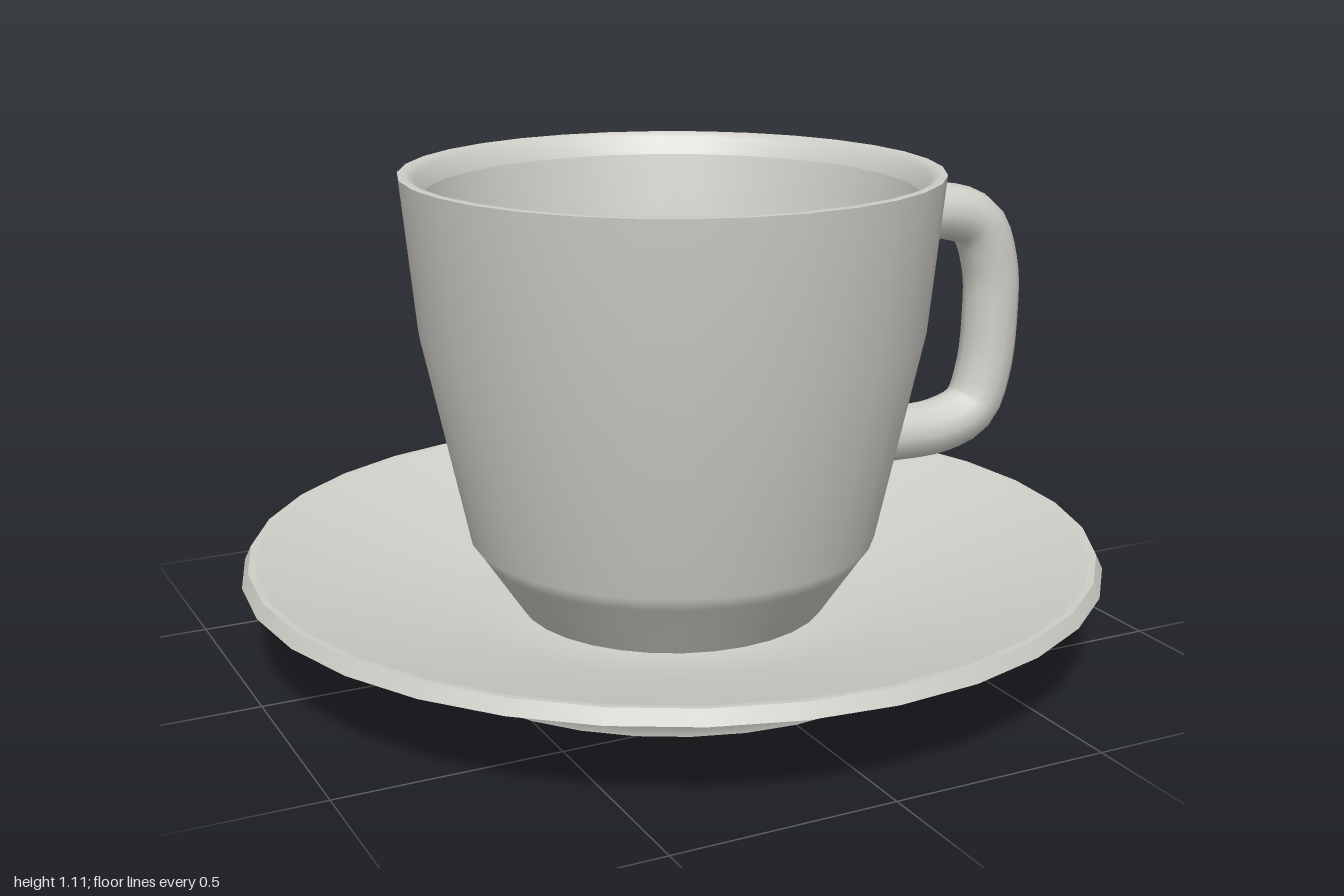
import * as THREE from 'three';

const SIDES = 32;

// Lathe from [radius, height] pairs; a repeated pair makes a sharp edge.
function lathe(profile) {
  return new THREE.LatheGeometry(profile.map(([r, y]) => new THREE.Vector2(r, y)), SIDES);
}

function addMesh(parent, name, geometry, material) {
  const mesh = new THREE.Mesh(geometry, material);
  mesh.name = name;
  parent.add(mesh);
  return mesh;
}

export function createModel() {
  const porcelain = new THREE.MeshStandardMaterial({ color: 0xd0cec8 });
  porcelain.name = 'porcelain';
  const coffeeBrown = new THREE.MeshStandardMaterial({ color: 0x784c2b });
  coffeeBrown.name = 'coffee brown';
  const creamTan = new THREE.MeshStandardMaterial({ color: 0xc0956a });
  creamTan.name = 'cream tan';

  const model = new THREE.Group();
  model.name = 'cupAndSaucer';

  // Saucer: flat foot, flared underside, thin bevelled rim, shallow well
  addMesh(model, 'saucer', lathe([
    [0, 0], [0.6, 0], [0.6, 0], [0.61, 0.05], [1, 0.205], [1, 0.205],
    [0.985, 0.237], [0.985, 0.237], [0.968, 0.235], [0.968, 0.235],
    [0.5, 0.095], [0.36, 0.085], [0, 0.085],
  ]), porcelain);

  // Cup: rounded base, tapered wall, rolled lip and hollow inside
  const cup = new THREE.Group();
  cup.name = 'cup';
  model.add(cup);
  addMesh(cup, 'cupBody', lathe([
    [0, 0.09], [0.36, 0.09], [0.36, 0.09], [0.45, 0.225], [0.475, 0.26],
    [0.58, 0.75], [0.615, 1.11], [0.615, 1.11],
    [0.6, 1.112], [0.578, 1.1], [0.56, 1.06], [0.56, 1.06],
    [0.525, 0.88], [0.5, 0.72], [0.41, 0.29], [0.32, 0.2], [0, 0.18],
  ]), porcelain);

  // Handle: a bent tube with closed ends
  const handle = new THREE.Group();
  handle.name = 'handle';
  cup.add(handle);
  const path = new THREE.CatmullRomCurve3([
    [0.595, 0.957], [0.74, 0.957], [0.83, 0.92], [0.875, 0.81], [0.881, 0.69],
    [0.868, 0.55], [0.83, 0.455], [0.74, 0.418], [0.548, 0.414],
  ].map(([x, y]) => new THREE.Vector3(x, y, 0)));
  addMesh(handle, 'handleTube', new THREE.TubeGeometry(path, 32, 0.069, 12), porcelain);
  for (const [name, t, sign] of [['upperHandleEnd', 0, -1], ['lowerHandleEnd', 1, 1]]) {
    const cap = addMesh(handle, name, new THREE.CircleGeometry(0.069, 12), porcelain);
    cap.position.copy(path.getPoint(t));
    cap.quaternion.setFromUnitVectors(
      new THREE.Vector3(0, 0, 1), path.getTangent(t).multiplyScalar(sign));
  }

  // Drink: coffee surface with a thin cream disc on it
  const coffee = addMesh(model, 'coffee', new THREE.CircleGeometry(0.523, SIDES), coffeeBrown);
  coffee.rotation.x = -Math.PI / 2;
  coffee.position.y = 0.88;
  addMesh(model, 'cream', lathe([
    [0.43, 0.88], [0.418, 0.888], [0.418, 0.888], [0, 0.888],
  ]), creamTan);

  return model;
}
